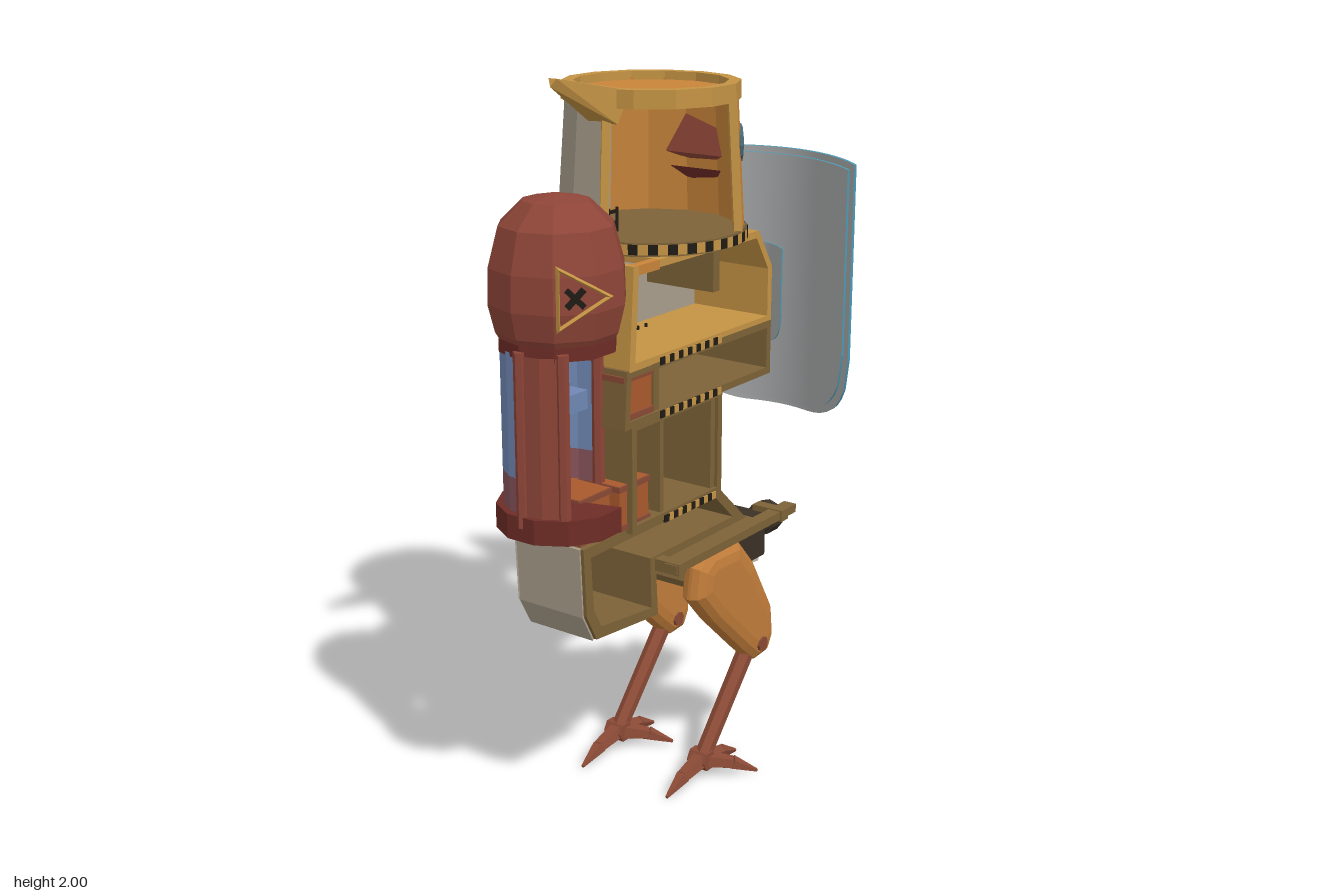
import * as THREE from 'three';
import { ConvexGeometry } from 'three/addons/geometries/ConvexGeometry.js';

const paint = (color, flatShading = true) =>
  new THREE.MeshStandardMaterial({ color, flatShading, side: THREE.DoubleSide });
const M = {
  grey: paint(0xa89e8c), pale: paint(0xc4bca8), brown: paint(0x7d6238), orange: paint(0xc8843a),
  gold: paint(0xc49344), red: paint(0x8e4538), darkRed: paint(0x6e2c26), crate: paint(0xa8592c),
  leg: paint(0x8a4a36), thigh: paint(0xc07c3a), blue: paint(0x4a9cba, false), glass: paint(0x7088b4),
  dark: paint(0x3a3126), black: paint(0x1f1b16), steel: paint(0x4d6870), lining: paint(0xa9abac, false),
  stain: paint(0x87545a),
};

export function createModel() {
  const root = new THREE.Group();
  const V = (x, y, z) => new THREE.Vector3(x, y, z);

  const add = (name, geo, mat, parent = root) => {
    const mesh = new THREE.Mesh(geo, mat);
    mesh.name = name;
    parent.add(mesh);
    return mesh;
  };
  // Box from its lowest to its highest corner
  const box = (name, mat, x0, x1, y0, y1, z0, z1) =>
    add(name, new THREE.BoxGeometry(x1 - x0, y1 - y0, z1 - z0)
      .translate((x0 + x1) / 2, (y0 + y1) / 2, (z0 + z1) / 2), mat);
  // Tapered rod from a to b
  const rod = (name, mat, a, b, r0, r1 = r0, sides = 6) => {
    const d = b.clone().sub(a);
    const mesh = add(name, new THREE.CylinderGeometry(r1, r0, d.length(), sides), mat);
    mesh.position.copy(a).addScaledVector(d, 0.5);
    mesh.quaternion.setFromUnitVectors(V(0, 1, 0), d.normalize());
  };
  // Side outline of [z, y] points, extruded from x0 to x1
  const side = (name, mat, pts, x0, x1, hole = null, bevel = 0, bevelSize = bevel) => {
    const flat = (list) => list.map(([z, y]) => new THREE.Vector2(-z, y));
    const shape = new THREE.Shape(flat(pts));
    if (hole) shape.holes.push(new THREE.Path(flat(hole)));
    const geo = new THREE.ExtrudeGeometry(shape, {
      depth: x1 - x0 - 2 * bevel, bevelEnabled: bevel > 0, bevelSize,
      bevelThickness: bevel, bevelOffset: -bevelSize, bevelSegments: 3,
    });
    add(name, geo.rotateY(Math.PI / 2).translate(x0 + bevel, 0, 0), mat);
  };
  // Outline shrunk by a wall thickness
  const inset = (pts, t) => {
    const range = (i) => {
      const v = pts.map((p) => p[i]);
      return [Math.min(...v), Math.max(...v)];
    };
    const [a, b] = [range(0), range(1)];
    const shrink = (v, [lo, hi]) => (lo + hi) / 2 + (v - (lo + hi) / 2) * (1 - (2 * t) / (hi - lo));
    return pts.map(([z, y]) => [shrink(z, a), shrink(y, b)]);
  };

  // Upper room: frame with a gap in the ceiling at the capsule end
  const upper = [[0.29, 1.54], [0.31, 1.27], [-0.35, 1.27], [-0.35, 1.43], [-0.28, 1.54]];
  side('upperRoomFrame', M.gold, [...upper, [0.18, 1.54], [0.18, 1.52], [-0.27, 1.52], [-0.33, 1.425],
    [-0.33, 1.29], [0.285, 1.29], [0.268, 1.54]], -0.11, 0.14);
  side('upperRoomWall', M.grey, upper, -0.13, -0.108);
  box('upperRoomLintel', M.orange, 0.115, 0.14, 1.515, 1.54, 0.18, 0.28);

  // Lower rooms: a frame open towards +x with a closed far wall
  const rooms = [
    ['middleRoom', [[0.32, 1.275], [0.33, 1.12], [-0.35, 1.12], [-0.35, 1.275]]],
    ['lowerRoom', [[0.3, 1.13], [0.3, 0.83], [-0.11, 0.83], [-0.11, 1.13]]],
  ];
  for (const [name, pts] of rooms) {
    side(name + 'Frame', M.brown, pts, -0.11, 0.14, inset(pts, 0.02));
    side(name + 'Wall', M.grey, pts, -0.13, -0.108);
  }
  const hip = [[0.48, 0.84], [0.47, 0.65], [0.43, 0.575], [0.16, 0.55], [0.17, 0.7], [-0.27, 0.7], [-0.12, 0.84]];
  const hipHole = [[0.45, 0.81], [0.44, 0.66], [0.41, 0.605], [0.19, 0.58], [0.195, 0.725], [-0.2, 0.725], [-0.11, 0.81]];
  side('hipFrame', M.brown, hip, -0.09, 0.12, hipHole);
  side('hipWall', M.pale, hip, -0.11, -0.088);
  side('hipBackPanel', M.grey, [[0.485, 0.84], [0.475, 0.648], [0.434, 0.57], [0.425, 0.58], [0.465, 0.655],
    [0.475, 0.84]], -0.1, 0.11);

  // Room fittings
  box('upperPillar', M.brown, -0.1, 0.12, 1.4, 1.53, -0.12, -0.09);
  box('middlePillar', M.brown, -0.1, 0.13, 1.14, 1.26, 0.17, 0.195);
  box('lowerPillar', M.brown, -0.1, 0.13, 0.85, 1.11, 0.15, 0.165);
  box('lowerPillarBack', M.brown, -0.1, 0.13, 0.85, 1.11, -0.09, -0.07);
  box('doorPlate', M.grey, -0.11, -0.1, 1.16, 1.24, 0.08, 0.14);
  box('pipe', M.brown, -0.1, -0.06, 1.16, 1.24, -0.2, -0.17);
  for (const y of [1.47, 1.2, 0.98]) box('wallVent', M.leg, -0.135, -0.128, y - 0.035, y + 0.035, 0.08, 0.11);
  for (const [y, z] of [[1.4, -0.1], [1.19, 0.2], [0.95, 0.0]])
    box('wallPlate', M.grey, -0.135, -0.128, y - 0.06, y + 0.06, z - 0.08, z + 0.06);
  rod('portholeRim', M.brown, V(-0.11, 1.38, 0.225), V(-0.085, 1.38, 0.225), 0.037, 0.037, 10);
  rod('portholeGlass', M.glass, V(-0.11, 1.38, 0.225), V(-0.08, 1.38, 0.225), 0.03, 0.03, 10);

  // Crates with raised rims
  for (const [x, y, z, s] of [[0.06, 0.905, 0.27, 0.125], [0.04, 0.905, 0.41, 0.125],
    [-0.07, 0.905, 0.34, 0.125], [0.07, 1.2, 0.262, 0.12]]) {
    box('crate', M.crate, x - s / 2, x + s / 2, y - s / 2, y + s / 2, z - s / 2, z + s / 2);
    for (const e of [-1, 1]) {
      const w = s / 2 + 0.004;
      box('crateRim', M.leg, x - w, x + w, y + e * s * 0.43 - 0.008, y + e * s * 0.43 + 0.008, z - w, z + w);
    }
  }

  // Hazard stripes along floor edges
  for (const [y, z0, n] of [[1.272, -0.1, 14], [1.128, -0.1, 14], [0.832, -0.08, 12]])
    for (let i = 0; i < n; i++)
      box('hazardStripe', i % 2 ? M.black : M.gold, 0.138, 0.144, y - 0.01, y + 0.01,
        z0 + i * 0.02, z0 + (i + 1) * 0.02);

  // Ladders near the far wall
  for (const [z, y0, y1] of [[0.115, 1.28, 1.64], [-0.012, 0.72, 1.3]]) {
    for (const e of [-1, 1]) rod('ladderRail', M.black, V(-0.06, y0, z + e * 0.018), V(-0.06, y1, z + e * 0.018), 0.004);
    for (let y = y0 + 0.02; y < y1; y += 0.03)
      box('ladderRung', M.black, -0.064, -0.056, y - 0.004, y + 0.004, z - 0.018, z + 0.018);
  }

  // Side deck
  box('deck', M.brown, -0.1, 0.16, 0.69, 0.702, -0.28, 0.17);
  box('deckRail', M.brown, 0.155, 0.195, 0.69, 0.715, -0.42, 0.18);
  for (const z of [-0.37, 0.14]) box('deckRailEnd', M.brown, 0.1, 0.2, 0.685, 0.718, z, z + 0.035);

  // Twin guns at different heights
  box('gunHousing', M.dark, -0.07, 0.14, 0.57, 0.7, -0.34, -0.2);
  for (const [x, y] of [[-0.025, 0.605], [0.095, 0.655]]) {
    rod('gunBarrel', M.dark, V(x, y, -0.2), V(x, y, -0.42), 0.042, 0.042, 10);
    rod('gunMuzzle', M.dark, V(x, y, -0.38), V(x, y, -0.435), 0.048, 0.048, 10);
    rod('gunBore', M.black, V(x, y, -0.43), V(x, y, -0.438), 0.028, 0.028, 10);
  }
  side('underPlate', M.pale, [[-0.18, 0.6], [-0.25, 0.545], [-0.37, 0.53], [-0.38, 0.58]], -0.06, 0.1);

  // Head: an open drum
  const head = new THREE.Group();
  head.name = 'head';
  head.position.set(-0.045, 0, -0.035);
  root.add(head);
  const top = Math.PI * 2;
  const drum = (parent, name, mat, rt, rb, y0, y1, a = 0, len = top, segs = 14, open = true) =>
    add(name, new THREE.CylinderGeometry(rt, rb, y1 - y0, segs, 1, open, a, len).translate(0, (y0 + y1) / 2, 0), mat, parent);
  drum(head, 'headWallGrey', M.grey, 0.228, 0.255, 1.56, 1.94, 3.0, top + 0.1 - 3.0, 8);
  drum(head, 'headLiningGrey', M.grey, 0.21, 0.235, 1.56, 1.94, 4.3, top + 0.1 - 4.3, 5);
  drum(head, 'headWallOrange', M.orange, 0.228, 0.25, 1.56, 1.94, 1.85, 1.15, 3);
  drum(head, 'headLiningOrange', M.orange, 0.21, 0.23, 1.56, 1.94, 1.85, 2.45, 5);
  drum(head, 'headFloor', M.brown, 0.257, 0.257, 1.54, 1.575, 0, top, 14, false);
  drum(head, 'headRoof', M.orange, 0.225, 0.225, 1.915, 1.935, 0, top, 14, false);
  drum(head, 'headRimOuter', M.gold, 0.237, 0.237, 1.91, 1.958);
  drum(head, 'headRimInner', M.gold, 0.205, 0.205, 1.93, 1.958);
  add('headRimTop', new THREE.RingGeometry(0.205, 0.237, 14).rotateX(-Math.PI / 2).rotateY(Math.PI / 2)
    .translate(0, 1.958, 0), M.gold, head);
  for (const a of [0.1, 1.85]) {
    const p = (r, y) => V(r * Math.sin(a) - 0.045, y, r * Math.cos(a) - 0.035);
    rod('headPost', M.gold, p(0.243, 1.56), p(0.222, 1.93), 0.016, 0.016, 4);
  }
  for (let i = 0; i < 24; i++)
    drum(head, 'headStripe', i % 2 ? M.black : M.gold, 0.259, 0.259, 1.545, 1.572, 0.3 + i * 0.1, 0.1, 1);

  // Eye
  const eye = new THREE.Group();
  eye.name = 'eye';
  eye.position.set(0.118, 1.787, -0.2);
  eye.rotation.y = 2.3;
  root.add(eye);
  add('eyeRing', new THREE.TorusGeometry(0.045, 0.012, 6, 12), M.steel, eye);
  add('eyeLens', new THREE.SphereGeometry(0.04, 10, 6).scale(1, 1, 0.35), M.blue, eye);

  // Beak and crest
  const hull = (name, mat, pts) => add(name, new ConvexGeometry(pts.map((p) => V(...p))), mat);
  hull('upperBeak', M.red, [[-0.03, 1.92, -0.26], [-0.17, 1.74, -0.228], [0.085, 1.74, -0.228],
    [-0.03, 1.745, -0.43], [-0.09, 1.725, -0.33], [0.03, 1.725, -0.33], [-0.03, 1.715, -0.262]]);
  hull('lowerBeak', M.darkRed, [[-0.13, 1.7, -0.235], [0.05, 1.7, -0.235], [-0.03, 1.665, -0.385],
    [-0.08, 1.63, -0.3], [0.02, 1.63, -0.3], [-0.03, 1.585, -0.325], [-0.03, 1.65, -0.265]]);
  hull('crest', M.gold, [[-0.085, 1.95, 0.14], [0.02, 1.95, 0.14], [-0.08, 1.87, 0.185], [0.012, 1.87, 0.185],
    [-0.06, 1.965, 0.2], [-0.005, 1.965, 0.2], [-0.045, 2, 0.385], [-0.02, 2, 0.385], [-0.032, 1.98, 0.395]]);

  // Escape capsule
  const pod = new THREE.Group();
  pod.name = 'capsule';
  pod.position.set(0.045, 0, 0.475);
  root.add(pod);
  const dome = [[0, 1.38], [0.14, 1.38], [0.158, 1.41], [0.175, 1.48], [0.172, 1.57], [0.145, 1.67], [0.085, 1.728], [0, 1.745]];
  add('capsuleDome', new THREE.LatheGeometry(dome.map(([r, y]) => new THREE.Vector2(r, y)), 10), M.red, pod);
  drum(pod, 'capsuleCollar', M.darkRed, 0.15, 0.15, 1.36, 1.395, 0, top, 10, false);
  drum(pod, 'capsuleGlass', M.glass, 0.145, 0.145, 1.05, 1.37, 3.1, 3.2, 8);
  drum(pod, 'capsuleGlassFoot', M.stain, 0.145, 0.145, 0.95, 1.05, 3.1, 3.2, 8);
  drum(pod, 'capsulePanel', M.red, 0.152, 0.152, 0.95, 1.37, 0, 0.75, 2);
  drum(pod, 'capsuleBase', M.darkRed, 0.165, 0.165, 0.895, 0.96, -1.85, 3.7, 7, false);
  for (const a of [0, 0.75, 3.1, 4.7]) {
    const p = (y) => V(0.045 + 0.148 * Math.sin(a), y, 0.475 + 0.148 * Math.cos(a));
    rod('capsulePost', M.red, p(0.93), p(1.38), 0.016);
  }
  box('capsuleSeat', M.glass, -0.05, 0.06, 1.18, 1.23, 0.38, 0.54);
  box('capsuleSeatBack', M.glass, -0.06, -0.02, 1.12, 1.29, 0.43, 0.49);

  // Warning triangle lying on one facet of the dome
  const sign = new THREE.Group();
  sign.name = 'warningSign';
  sign.position.set(0.181, 1.52, 0.574);
  sign.rotation.y = 0.94;
  root.add(sign);
  add('signFrame', new THREE.TorusGeometry(0.085, 0.01, 4, 3), M.gold, sign);
  for (const r of [0.785, -0.785]) add('signCross', new THREE.BoxGeometry(0.06, 0.014, 0.012), M.black, sign).rotation.z = r;

  // Curved shields: a thin slab bent back, with rounded lower corners
  const shield = (name, w, y0, y1, zMid, zEdge, round, thick) => {
    const geo = new THREE.BoxGeometry(2, 1, thick, 28, 2, 1);
    const p = geo.attributes.position;
    for (let i = 0; i < p.count; i++) {
      const u = p.getX(i);
      const k = Math.max(0, (Math.abs(u) - 0.32) / 0.68);
      const low = y0 + round * (1 - Math.sqrt(Math.max(0, 1 - k * k)));
      p.setXYZ(i, u * w, low + (y1 - low) * (p.getY(i) + 0.5), zMid + (zEdge - zMid) * u * u + p.getZ(i));
    }
    geo.computeVertexNormals();
    add(name, geo, [M.blue, M.blue, M.blue, M.blue, M.lining, M.blue]);
  };
  shield('shieldOuter', 0.318, 0.935, 1.71, -0.637, -0.485, 0.22, 0.012);
  shield('shieldInner', 0.3, 0.955, 1.695, -0.611, -0.48, 0.21, 0.01);
  shield('visor', 0.118, 1.17, 1.46, -0.492, -0.438, 0.1, 0.006);

  // Legs
  const thigh = [[0.07, 0.57], [0.055, 0.66], [0, 0.695], [-0.14, 0.69], [-0.22, 0.6],
    [-0.32, 0.43], [-0.33, 0.34], [-0.3, 0.285], [-0.23, 0.28], [-0.17, 0.33], [-0.02, 0.47]];
  rod('hipAxle', M.brown, V(-0.12, 0.56, -0.08), V(0.13, 0.56, -0.08), 0.03, 0.03, 8);
  for (const x of [-0.143, 0.157]) {
    side('thigh', M.thigh, thigh, x - 0.043, x + 0.043, null, 0.038, 0.052);
    rod('knee', M.leg, V(x - 0.048, 0.335, -0.245), V(x + 0.048, 0.335, -0.245), 0.022, 0.022, 8);
    const ankle = V(x + 0.003, 0.055, 0.005);
    rod('shin', M.leg, V(x, 0.335, -0.245), ankle, 0.026, 0.024, 6);
    rod('ankle', M.leg, V(x - 0.03, 0.055, 0), V(x + 0.03, 0.055, 0), 0.03, 0.03, 6);
    for (const [dx, z] of [[0.12, -0.11], [-0.085, -0.1], [0, -0.175], [0, 0.17]]) {
      const mid = V(x + dx * 0.55, 0.036, z * 0.55);
      rod('toe', M.leg, ankle, mid, 0.028, 0.02, 5);
      rod('claw', M.leg, mid, V(x + dx, 0.006, z), 0.022, 0.005, 5);
    }
  }
  return root;
}
